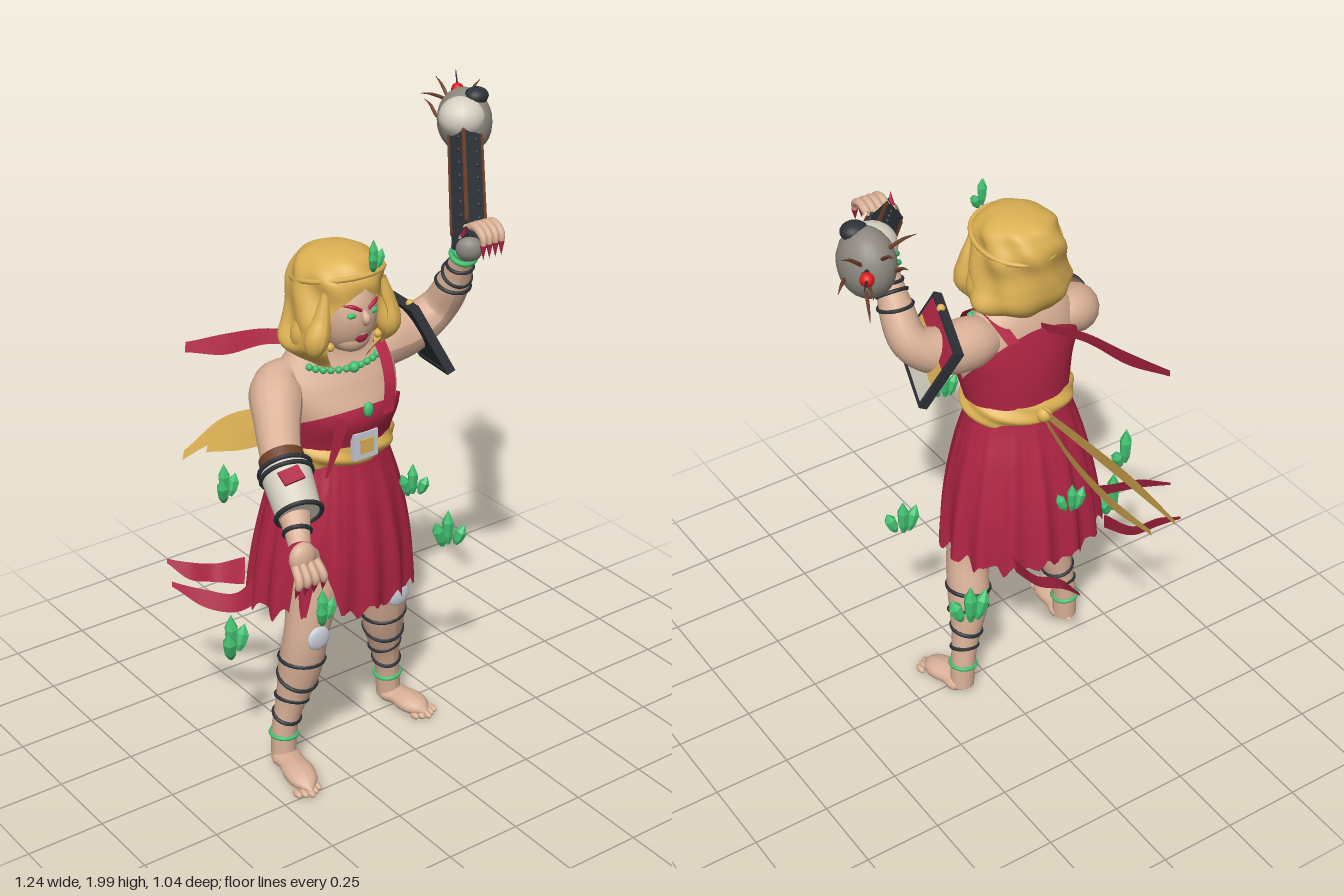
import * as THREE from 'three';
import { ParametricGeometry } from 'three/addons/geometries/ParametricGeometry.js';

const V = (x, y, z) => new THREE.Vector3(x, y, z);
const TAU = Math.PI * 2;
const paint = (name, color, side = THREE.FrontSide) => {
  const m = new THREE.MeshStandardMaterial({ color, side });
  m.name = name;
  return m;
};
// smooth interpolation through evenly spaced values
const smooth = (a, t) => {
  const n = a.length - 1, i = Math.min(Math.floor(t * n), n - 1), f = t * n - i;
  const p = a[Math.max(i - 1, 0)], q = a[i], r = a[i + 1], s = a[Math.min(i + 2, n)];
  return q + 0.5 * f * (r - p + f * (2 * p - 5 * q + 4 * r - s + f * (3 * (q - r) + s - p)));
};
const bump = (x, w) => Math.max(0, 1 - Math.abs(x) / w);

export function createModel() {
  const root = new THREE.Group();
  root.name = 'warrior';
  const D = THREE.DoubleSide;
  const skin = paint('skin', 0xd9b096), crimson = paint('crimson', 0xae2443, D), gold = paint('gold', 0xdcb053, D);
  const dark = paint('dark iron', 0x2d3238), grey = paint('stone grey', 0x8d8880), silver = paint('silver', 0xc9cdd8);
  const bone = paint('bone', 0xd6d0c2, D), green = paint('emerald', 0x42c070), brown = paint('brown leather', 0x6e4029);
  const red = paint('bright red', 0xd81e1c);

  const add = (name, geo, mat, pos, parent = root) => {
    const m = new THREE.Mesh(geo, mat);
    m.name = name;
    if (pos) m.position.copy(pos);
    parent.add(m);
    return m;
  };
  const ball = (name, pos, r, mat, sx = 1, sy = 1, sz = 1, parent = root) => {
    const m = add(name, new THREE.SphereGeometry(r, 20, 14), mat, pos, parent);
    m.scale.set(sx, sy, sz);
    return m;
  };
  // tube whose radius follows a list
  const limb = (name, pts, radii, mat, sides = 16) => {
    const curve = new THREE.CatmullRomCurve3(pts), n = 8 * (pts.length - 1);
    const geo = new THREE.TubeGeometry(curve, n, 1, sides), p = geo.attributes.position, v = V();
    for (let i = 0; i < p.count; i++) {
      const t = Math.floor(i / (sides + 1)) / n, c = curve.getPointAt(t);
      v.fromBufferAttribute(p, i).sub(c).multiplyScalar(Math.max(0.0005, smooth(radii, t))).add(c);
      p.setXYZ(i, v.x, v.y, v.z);
    }
    geo.computeVertexNormals();
    return { mesh: add(name, geo, mat), curve, r: t => smooth(radii, t) };
  };
  const band = (name, l, t, tube, mat, grow = 1, tilt = 0) => {
    const m = add(name, new THREE.TorusGeometry(l.r(t) * grow, tube, 8, 28), mat, l.curve.getPointAt(t));
    m.quaternion.setFromUnitVectors(V(0, 0, 1), l.curve.getTangentAt(t));
    m.rotateX(tilt);
  };
  const rod = (name, a, b, r1, r2, mat) => {
    const d = b.clone().sub(a);
    const m = add(name, new THREE.CylinderGeometry(r2, r1, d.length(), 28), mat, a.clone().lerp(b, 0.5));
    m.quaternion.setFromUnitVectors(V(0, 1, 0), d.normalize());
  };
  // flat ribbon along a curve, widths from a list
  const strip = (name, pts, widths, dir, mat) => {
    const c = new THREE.CatmullRomCurve3(pts);
    add(name, new ParametricGeometry((u, v, o) =>
      o.copy(dir).multiplyScalar((u - 0.5) * Math.max(0.003, smooth(widths, v))).add(c.getPoint(v)), 2, 24), mat);
  };

  // torso cross-sections: rx, rz, cx, cz at equal steps from y 0.75 to 1.47
  const body = [[0.17, 0.2, 0.165, 0.152, 0.165, 0.183, 0.2, 0.165, 0.06], [0.15, 0.16, 0.14, 0.12, 0.125, 0.138, 0.115, 0.082, 0.058],
    [-0.15, -0.15, -0.15, -0.15, -0.15, -0.15, -0.155, -0.155, -0.155], [0.02, 0.02, 0.03, 0.03, 0.04, 0.055, 0.045, 0.035, 0.06]];
  const bodyAt = (a, y, o, grow = 0) => {
    const t = THREE.MathUtils.clamp((y - 0.75) / 0.72, 0, 1), [rx, rz, cx, cz] = body.map(l => smooth(l, t));
    return o.set(cx + Math.sin(a) * (rx + grow), y, cz + Math.cos(a) * (rz + grow));
  };
  add('torso', new ParametricGeometry((u, v, o) => bodyAt(u * TAU, 0.75 + v * 0.72, o), 40, 32), skin);
  add('bodice', new ParametricGeometry((u, v, o) => {
    const c = Math.cos(u * TAU), top = 1.18 + (c > 0 ? 0.06 * c : -0.18 * c);
    return bodyAt(u * TAU, 1.04 + v * (top - 1.04), o, 0.012);
  }, 48, 14), crimson);

  // pleated skirt with a torn hem and a slit above one knee
  add('skirt', new ParametricGeometry((u, v, o) => {
    const a = u * TAU, slit = 0.19 * bump(a - (TAU - 0.6), 0.2);
    const hem = 0.535 + 0.07 * Math.abs(((u * 17) % 1) - 0.5) + 0.05 * Math.abs(((u * 29 + 0.3) % 1) - 0.5) + slit;
    const f = 1 + 0.045 * (1 - v) * Math.cos(a * 15);
    return o.set(-0.15 + Math.sin(a) * f * smooth([0.268, 0.25, 0.215, 0.165], v), hem + v * (1.08 - hem),
      0.005 + 0.025 * v + Math.cos(a) * f * smooth([0.22, 0.21, 0.18, 0.14], v));
  }, 200, 24), crimson);
  add('sash belt', new ParametricGeometry((u, v, o) =>
    bodyAt(u * TAU, 1.032 + 0.078 * v, o, 0.012 + 0.018 * Math.sin(v * Math.PI) + 0.004 * Math.sin(u * 6 * TAU + v * 9)), 64, 10), gold);
  add('buckle', new THREE.BoxGeometry(0.085, 0.085, 0.02), silver, V(-0.155, 1.115, 0.19));
  add('buckle centre', new THREE.BoxGeometry(0.045, 0.045, 0.008), gold, V(-0.155, 1.115, 0.202));

  // ribbons and sash tails
  const up = V(0, 1, 0), slant = V(0.32, 1, -0.1);
  strip('sash tail', [V(-0.15, 1.08, -0.11), V(-0.2, 1.03, -0.27), V(-0.27, 0.95, -0.42), V(-0.35, 0.84, -0.52)], [0.05, 0.065, 0.07, 0.03], slant, gold);
  strip('sash tail', [V(-0.15, 1.06, -0.11), V(-0.16, 0.98, -0.25), V(-0.2, 0.9, -0.4), V(-0.26, 0.84, -0.52)], [0.05, 0.06, 0.065, 0.03], slant, gold);
  ball('sash knot', V(-0.15, 1.075, -0.11), 0.026, gold);
  strip('shoulder ribbon', [V(-0.17, 1.36, -0.06), V(-0.25, 1.355, -0.17), V(-0.33, 1.31, -0.28), V(-0.41, 1.285, -0.38)], [0.04, 0.045, 0.06, 0.03], V(0.25, 1, -0.25), crimson);
  [[V(-0.4, 0.6, -0.03), V(-0.48, 0.58, -0.03), V(-0.56, 0.6, -0.08), V(-0.62, 0.63, -0.165)],
    [V(-0.36, 0.59, -0.16), V(-0.42, 0.57, -0.23), V(-0.5, 0.59, -0.26), V(-0.55, 0.62, -0.31)],
    [V(0.0, 0.59, -0.17), V(-0.03, 0.57, -0.26), V(-0.07, 0.59, -0.33), V(-0.07, 0.62, -0.43)]]
    .forEach((p, i) => strip('hem ribbon', p, [0.08, 0.055, 0.05, 0.015], i < 2 ? V(0.25, 1, -0.3) : V(0.3, 1, 0), crimson));
  const side = V(1, 0, 0);
  strip('shoulder strap', [V(-0.08, 1.2, 0.205), V(-0.06, 1.3, 0.185), V(-0.04, 1.38, 0.11), V(-0.04, 1.41, 0.03), V(-0.06, 1.35, -0.075)], [0.04, 0.04, 0.04, 0.04, 0.04], side, crimson);
  strip('bodice tie', [V(-0.235, 1.22, 0.19), V(-0.255, 1.15, 0.195), V(-0.3, 1.05, 0.2)], [0.045, 0.04, 0.012], side, crimson);

  // head and face
  ball('head', V(-0.155, 1.515, 0.085), 0.1, skin, 0.95, 1.3, 1.1);
  ball('jaw', V(-0.155, 1.44, 0.125), 0.058, skin, 1, 0.8, 0.9);
  limb('nose', [V(-0.155, 1.54, 0.188), V(-0.155, 1.515, 0.2), V(-0.155, 1.497, 0.192)], [0.006, 0.013, 0.006], skin);
  for (const s of [-1, 1]) {
    ball('eye', V(-0.155 + s * 0.036, 1.53, 0.181), 0.015, green, 1.2, 0.6, 0.6);
    limb('brow', [V(-0.155 + s * 0.012, 1.545, 0.194), V(-0.155 + s * 0.04, 1.56, 0.187), V(-0.155 + s * 0.065, 1.562, 0.165)], [0.005, 0.006, 0.001], crimson);
    ball('earring', V(-0.155 + s * 0.085, 1.43, 0.14), 0.013, gold);
  }
  ball('lips', V(-0.155, 1.458, 0.176), 0.023, crimson, 1, 0.9, 0.4);
  ball('teeth', V(-0.155, 1.467, 0.181), 0.013, bone, 1, 0.4, 0.45);

  // wavy domed hair, open at the face
  add('hair', new ParametricGeometry((u, v, o) => {
    const gap = 0.66 * (1 - THREE.MathUtils.smoothstep(v, 0.36, 0.54)), a = gap + u * (TAU - 2 * gap);
    const w = 1 + (0.04 * Math.sin(a * 7 + v * 12) + 0.03 * Math.sin(v * 20 + 3 * Math.cos(a))) * Math.min(1, 2.5 * (1 - v));
    return o.set(-0.16 - 0.012 * (1 - v) + Math.sin(a) * w * smooth([0.1, 0.165, 0.158, 0.142, 0.136, 0.125, 0.1, 0.06, 0], v),
      1.365 + 0.34 * Math.sin(v * Math.PI / 2),
      0.065 + Math.cos(a) * w * smooth([0.09, 0.132, 0.137, 0.142, 0.142, 0.134, 0.112, 0.066, 0], v));
  }, 96, 56), gold);
  for (const s of [-1, 1])
    for (let i = 0; i < 2; i++)
      limb('hair lock', [V(-0.16 + s * 0.1, 1.61, 0.15 - i * 0.05), V(-0.16 + s * 0.115, 1.53, 0.15 - i * 0.06),
        V(-0.17 + s * 0.13, 1.45, 0.15 - i * 0.07), V(-0.17 + s * 0.12, 1.39, 0.13 - i * 0.06)], [0.01, 0.026, 0.036, 0], gold);
  const circlet = add('circlet', new THREE.TorusGeometry(0.132, 0.008, 8, 40), gold, V(-0.16, 1.625, 0.065));
  circlet.rotation.x = Math.PI / 2 - 0.2;
  circlet.scale.y = 1.05;

  // necklace
  for (let i = 0; i < 13; i++) {
    const t = i / 6 - 1, p = bodyAt(t * 0.8, 1.345 + 0.02 * t * t, V(), 0.008);
    ball('necklace bead', p, i === 6 ? 0.017 : 0.011, green);
  }
  ball('pendant', V(-0.155, 1.235, 0.21), 0.02, green, 0.8, 1.2, 0.6);

  // legs: hip to ankle, straps, knee guard and foot
  const leg = (name, pts, heel, toe, pad) => {
    const l = limb(name, pts, [0.11, 0.1, 0.072, 0.068, 0.044, 0.04], skin);
    [0.56, 0.65, 0.74, 0.82].forEach((t, i) => band('leg strap', l, t, 0.007, dark, 0.99, i % 2 ? 0.25 : -0.2));
    band('anklet', l, 0.9, 0.007, green, 1.02);
    ball('knee guard', pad, 0.04, silver, 1, 1, 0.35);
    const k = 0.6, mid = heel.clone().lerp(toe, 0.5);
    mid.y = 0.035;
    const flat = p => V(p.x, p.y / k, p.z);
    limb('foot', [heel, mid, toe].map(flat), [0, 0.045, 0.043, 0.05, 0.04, 0], skin).mesh.scale.y = k;
    for (let i = -2; i <= 2; i++)
      ball('toe', V(toe.x + i * 0.018, 0.013, toe.z - 0.012 - 0.01 * Math.abs(i)), 0.013, skin, 0.85, 0.9, 1.6);
  };
  leg('right leg', [V(-0.23, 0.84, 0.03), V(-0.27, 0.68, 0.09), V(-0.315, 0.5, 0.11), V(-0.33, 0.34, 0.085), V(-0.37, 0.14, 0.06), V(-0.375, 0.03, 0.06)],
    V(-0.365, 0.03, 0.01), V(-0.41, 0.02, 0.27), V(-0.32, 0.5, 0.18));
  leg('left leg', [V(-0.07, 0.84, 0.02), V(-0.02, 0.68, 0.04), V(0.03, 0.5, 0.04), V(0.055, 0.34, 0), V(0.095, 0.14, -0.03), V(0.105, 0.03, -0.035)],
    V(0.1, 0.03, -0.08), V(0.14, 0.02, 0.14), V(0.03, 0.5, 0.115));

  // arms
  const rArm = limb('right arm', [V(-0.26, 1.31, 0.03), V(-0.345, 1.305, 0.03), V(-0.415, 1.245, 0.12), V(-0.475, 1.175, 0.23), V(-0.52, 1.09, 0.35), V(-0.56, 1.02, 0.44)],
    [0.05, 0.078, 0.066, 0.058, 0.05, 0.032], skin);
  const lArm = limb('left arm', [V(-0.08, 1.32, 0.03), V(0.02, 1.335, 0.02), V(0.13, 1.345, 0.02), V(0.225, 1.4, 0.04), V(0.238, 1.5, 0.1), V(0.225, 1.63, 0.17), V(0.212, 1.68, 0.2)],
    [0.05, 0.08, 0.074, 0.06, 0.052, 0.035, 0.03], skin);
  const c1 = V(-0.488, 1.165, 0.265), c2 = V(-0.523, 1.085, 0.385), along = t => c1.clone().lerp(c2, t);
  rod('bracer', c1, c2, 0.074, 0.066, bone);
  [[0, 0.075], [1, 0.067], [0.14, 0.075]].forEach(([t, r]) => {
    const m = add('bracer rim', new THREE.TorusGeometry(r, 0.007, 8, 32), dark, along(t));
    m.quaternion.setFromUnitVectors(V(0, 0, 1), along(1).sub(c1).normalize());
  });
  rod('bracer strap', along(-0.28), along(-0.06), 0.066, 0.066, brown);
  band('wrist band', rArm, 0.93, 0.007, dark);
  const patch = add('bracer patch', new THREE.BoxGeometry(0.065, 0.008, 0.045), crimson, V(-0.523, 1.193, 0.35));
  patch.rotation.set(0.55, 0, 0.15);
  [0.68, 0.74, 0.8].forEach((t, i) => band('forearm strap', lArm, t, 0.006, dark, 1.02, i % 2 ? 0.2 : -0.2));
  [0.87, 0.91].forEach(t => band('bracelet', lArm, t, 0.009, green, 1.08));

  // hands with painted nails
  const finger = (pts, r) => {
    limb('finger', pts, [r, r, r * 0.9, r * 0.5], skin, 10);
    const a = pts[pts.length - 1], d = a.clone().sub(pts[pts.length - 2]).normalize();
    const m = add('nail', new THREE.ConeGeometry(r * 0.8, 0.042, 8), crimson, a.clone().addScaledVector(d, 0.008));
    m.quaternion.setFromUnitVectors(up, d);
  };
  ball('right palm', V(-0.565, 0.995, 0.46), 0.045, skin, 0.95, 1.05, 0.6);
  for (let i = 0; i < 4; i++) {
    const x = -0.6 + i * 0.023;
    finger([V(x, 0.985, 0.475), V(x - 0.006 + i * 0.004, 0.945, 0.505), V(x - 0.008 + i * 0.006, 0.915, 0.495)], 0.013);
  }
  finger([V(-0.535, 1.005, 0.44), V(-0.505, 0.975, 0.43), V(-0.492, 0.935, 0.43)], 0.014);
  ball('left palm', V(0.2, 1.71, 0.235), 0.045, skin, 0.9, 0.8, 1);
  for (let i = 0; i < 4; i++) {
    const x = 0.168 + i * 0.022;
    finger([V(x, 1.735, 0.245), V(x, 1.75, 0.285), V(x - 0.003, 1.728, 0.325), V(x - 0.006, 1.695, 0.33)], 0.013);
  }
  finger([V(0.18, 1.69, 0.235), V(0.15, 1.7, 0.25), V(0.14, 1.735, 0.27)], 0.014);

  // club: local y runs from grip to head
  const A = V(0.155, 1.69, 0.275), B = V(0.482, 1.882, -0.165), club = new THREE.Group();
  club.name = 'club';
  club.position.copy(A);
  club.quaternion.setFromUnitVectors(up, B.clone().sub(A).normalize());
  root.add(club);
  const L = B.distanceTo(A);
  add('club shaft', new THREE.BoxGeometry(0.072, L, 0.072), dark, V(0, L / 2, 0), club);
  for (const s of [-1, 1]) for (const q of [-1, 1])
    add('shaft edging', new THREE.BoxGeometry(0.008, L * 0.84, 0.008), brown, V(s * 0.0345, L * 0.52, q * 0.0345), club);
  for (let i = 0; i < 7; i++) for (const s of [-1, 1]) {
    ball('shaft stud', V(s * 0.037, 0.1 + i * 0.06, 0.012), 0.007, dark, 1, 1, 1, club);
    ball('shaft stud', V(0.012, 0.1 + i * 0.06, s * 0.037), 0.007, dark, 1, 1, 1, club);
  }
  ball('club pommel', V(0, -0.01, 0), 0.04, grey, 1, 0.8, 1, club);
  ball('club head', B, 0.095, grey, 0.83, 1.08, 1);
  ball('club head collar', V(0.448, 1.908, -0.135), 0.075, bone, 0.98, 0.85, 0.95);
  ball('club head cap', V(0.497, 1.967, -0.13), 0.036, dark, 1.1, 0.75, 1);
  [[0.55, 1.86, -0.17, 0.61, 1.86, -0.23], [0.45, 1.94, -0.22, 0.37, 1.97, -0.24], [0.48, 1.93, -0.24, 0.49, 1.98, -0.32], [0.52, 1.85, -0.22, 0.55, 1.78, -0.29],
    [0.44, 1.88, -0.24, 0.44, 1.92, -0.31], [0.53, 1.92, -0.22, 0.6, 1.97, -0.24], [0.53, 1.9, -0.23, 0.56, 1.88, -0.33]]
    .forEach(([a, b, c, d, e, f]) => limb('twig', [B.clone().lerp(V(a, b, c), 0.6), V(a, b, c), V(d, e + 0.01, f).lerp(V(a, b, c), 0.4), V(d, e, f)], [0.008, 0.006, 0.005, 0.001], brown, 6));
  limb('spike', [B, V(0.565, 1.93, -0.305), V(0.62, 1.96, -0.385)], [0.008, 0.006, 0.001], dark, 8);
  ball('red orb', V(0.562, 1.93, -0.302), 0.02, red);

  // striped satchel under the raised arm: local x runs back, local z runs down its face
  const bag = new THREE.Group();
  bag.name = 'satchel';
  const bx = V(0.08, -0.05, -0.24).normalize(), n = V(0.052, 0.026, 0.012), bz = bx.clone().cross(n).normalize();
  bag.quaternion.setFromRotationMatrix(new THREE.Matrix4().makeBasis(bx, bz.clone().cross(bx), bz));
  bag.position.set(0.155, 1.34, 0.045);
  root.add(bag);
  add('satchel board', new THREE.BoxGeometry(0.25, 0.02, 0.22), dark, null, bag);
  for (const s of [-1, 1]) {
    add('satchel frame', new THREE.BoxGeometry(0.26, 0.028, 0.013), dark, V(0, 0, s * 0.11), bag);
    add('satchel frame', new THREE.BoxGeometry(0.013, 0.028, 0.22), dark, V(s * 0.124, 0, 0), bag);
  }
  [crimson, gold, bone].forEach((m, i) => add('satchel stripe', new THREE.BoxGeometry(0.235, 0.007, 0.064), m, V(0, 0.0125, (i - 1) * 0.068), bag));
  add('satchel gem', new THREE.BoxGeometry(0.09, 0.008, 0.03), green, V(-0.05, 0.017, 0.07), bag);
  ball('satchel clasp', V(0.1, 1.455, 0.07), 0.013, gold);

  // floating crystal clusters
  const shard = new THREE.LatheGeometry([[0.06, 0], [0.14, 0.25], [0.16, 0.65], [0, 1]].map(p => new THREE.Vector2(...p)), 6).toNonIndexed();
  shard.computeVertexNormals();
  [[-0.04, 1.0, 0.275, 0.1], [-0.4, 0.9, -0.2, 0.12], [-0.11, 0.91, -0.32, 0.1], [-0.37, 0.68, 0.275, 0.11], [0.22, 0.68, 0.12, 0.12],
    [-0.53, 0.51, 0.02, 0.14], [0.165, 0.51, -0.18, 0.14], [-0.13, 1.71, 0.2, 0.09]].forEach(([x, y, z, h], k) => {
    const g = new THREE.Group();
    g.name = 'crystal cluster';
    g.position.set(x, y - h / 2, z);
    g.rotation.y = k % 2 ? 0.5 : -0.4;
    root.add(g);
    [[0, 0, 1], [0.3, 0.12, 0.8], [-0.38, 0.1, 0.62]].forEach(([a, b, s]) => {
      const m = add('crystal', shard, green, V(-a * h * 0.5, 0, b * h * 0.5), g);
      m.scale.set(h, h * s, h);
      m.rotation.set(b, 0, a);
    });
  });
  return root;
}
